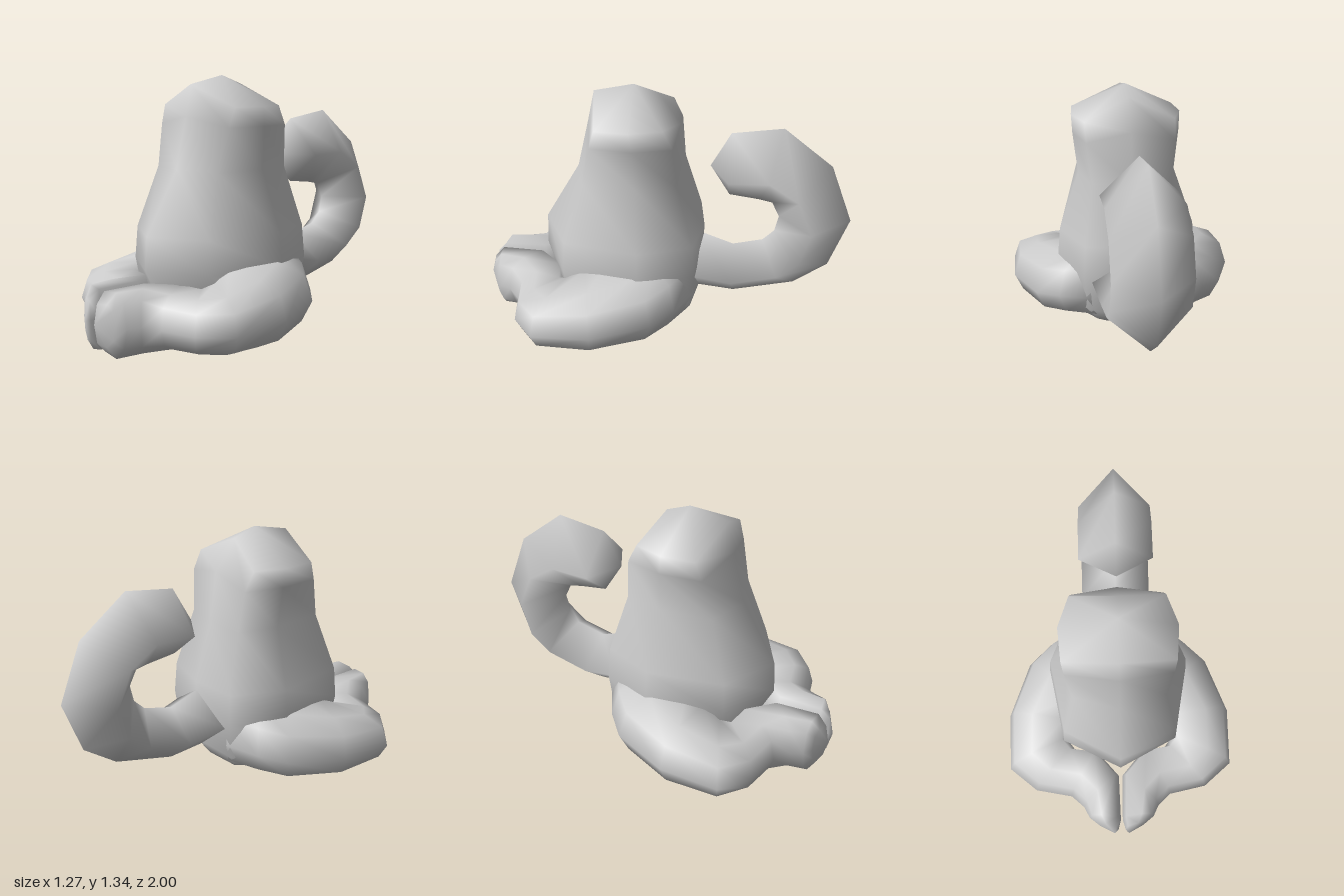
import * as THREE from 'three';

const material = new THREE.MeshStandardMaterial({ color: 0xcccccc, side: THREE.DoubleSide });

// Skin a list of closed rings; each end closes on a point (or on the ring's centre).
function loft(name, rings, startTip, endTip) {
  const n = rings[0].length;
  const centre = (r) => [0, 1, 2].map((k) => r.reduce((s, p) => s + p[k], 0) / n);
  const points = rings.flat();
  const a = points.push(startTip || centre(rings[0])) - 1;
  const b = points.push(endTip || centre(rings[rings.length - 1])) - 1;
  const index = [];
  const last = (rings.length - 1) * n;
  for (let j = 0; j < n; j++) {
    const k = (j + 1) % n;
    for (let i = 0; i < last; i += n) {
      index.push(i + j, i + k, i + n + j, i + k, i + n + k, i + n + j);
    }
    index.push(a, k, j, b, last + j, last + k);
  }
  // Turn every face outwards by checking the enclosed volume.
  let volume = 0;
  const [u, v, w] = [new THREE.Vector3(), new THREE.Vector3(), new THREE.Vector3()];
  for (let i = 0; i < index.length; i += 3) {
    u.fromArray(points[index[i]]);
    v.fromArray(points[index[i + 1]]);
    w.fromArray(points[index[i + 2]]);
    volume += u.dot(v.cross(w));
  }
  if (volume < 0) index.reverse();
  const geometry = new THREE.BufferGeometry();
  geometry.setAttribute('position', new THREE.Float32BufferAttribute(points.flat(), 3));
  geometry.setIndex(index);
  geometry.computeVertexNormals();
  const mesh = new THREE.Mesh(geometry, material);
  mesh.name = name;
  return mesh;
}

// Torso and head in one: eight-sided sections with a pointed front and a pitched top.
function makeBody() {
  // y, side drop, front z, front corner x/z, side x/z, back corner x/z, back z
  const sections = [
    [0.03, 0, 0.40, 0.18, 0.34, 0.24, 0.12, 0.13, -0.06, -0.08],
    [0.07, 0, 0.50, 0.25, 0.42, 0.33, 0.10, 0.19, -0.10, -0.13],
    [0.17, 0, 0.57, 0.29, 0.48, 0.38, 0.10, 0.25, -0.17, -0.20],
    [0.37, 0, 0.67, 0.31, 0.51, 0.39, 0.10, 0.27, -0.19, -0.215],
    [0.54, 0, 0.66, 0.30, 0.50, 0.375, 0.10, 0.26, -0.18, -0.22],
    [0.86, 0, 0.47, 0.24, 0.40, 0.265, 0.12, 0.21, -0.09, -0.125],
    [1.13, 0.05, 0.405, 0.27, 0.35, 0.29, 0.13, 0.235, -0.07, -0.085],
    [1.29, 0.11, 0.37, 0.28, 0.32, 0.295, 0.14, 0.24, -0.02, 0.03],
  ];
  const rings = sections.map(([y, d, zf, xc, zc, xs, zs, xb, zb, zr]) => [
    [0, y, zf], [xc, y - d, zc], [xs, y - d, zs], [xb, y - d, zb],
    [0, y, zr], [-xb, y - d, zb], [-xs, y - d, zs], [-xc, y - d, zc],
  ]);
  return loft('body', rings, [0, 0.02, 0.15], [0, 1.335, 0.16]);
}

// Leg: thigh sweeping out to the knee, shin folding in, foot pointing forward.
function makeLeg(side) {
  // outer x/z, inner x/z, bottom y, top y on the outer and inner side
  const sections = [
    [0.24, -0.19, 0.02, 0.08, 0.07, 0.42, 0.42],
    [0.40, -0.10, 0.08, 0.20, 0.05, 0.40, 0.44],
    [0.52, 0.01, 0.17, 0.29, 0.03, 0.37, 0.44],
    [0.635, 0.31, 0.27, 0.40, 0.02, 0.33, 0.40],
    [0.63, 0.62, 0.29, 0.48, 0.03, 0.29, 0.35],
    [0.48, 0.745, 0.26, 0.52, 0.03, 0.28, 0.32],
    [0.28, 0.785, 0.13, 0.54, 0.02, 0.28, 0.32],
    [0.21, 0.85, 0.01, 0.68, 0, 0.325, 0.325],
    [0.18, 0.91, 0.005, 0.93, 0, 0.325, 0.325],
    [0.135, 0.945, 0.02, 0.98, 0.06, 0.27, 0.27],
  ];
  const outline = [
    [0, 0.5], [0.1, 0.88], [0.4, 1], [0.9, 0.98],
    [1, 0.55], [0.93, 0.06], [0.45, 0], [0.12, 0.18],
  ];
  const rings = sections.map(([xo, zo, xi, zi, yb, to, ti]) => outline.map(([t, h]) => [
    side * (xo + (xi - xo) * t),
    yb + h * (to + (ti - to) * t - yb),
    zo + (zi - zo) * t,
  ]));
  return loft(side > 0 ? 'leftLeg' : 'rightLeg', rings, null, [side * 0.04, 0.17, 1]);
}

// Tail: a curled diamond-section tube ending in a blunt point.
function makeTail() {
  // outer z/y, inner z/y, half width
  const sections = [
    [-0.18, 0.15, -0.18, 0.50, 0.23],
    [-0.39, 0.13, -0.38, 0.43, 0.2],
    [-0.72, 0.21, -0.54, 0.47, 0.2],
    [-0.90, 0.34, -0.60, 0.53, 0.2],
    [-1.00, 0.62, -0.62, 0.62, 0.2],
    [-0.88, 0.93, -0.58, 0.70, 0.2],
    [-0.62, 1.13, -0.51, 0.715, 0.2],
    [-0.35, 1.09, -0.35, 0.735, 0.2],
  ];
  const rings = sections.map(([zo, yo, zi, yi, w]) => {
    const y = yo + (yi - yo) * 0.55;
    const z = zo + (zi - zo) * 0.55;
    return [[0, yo, zo], [w, y, z], [0, yi, zi], [-w, y, z]];
  });
  return loft('tail', rings, null, [0, 0.9, -0.245]);
}

export function createModel() {
  const group = new THREE.Group();
  group.name = 'seatedFigure';
  group.add(makeBody(), makeLeg(1), makeLeg(-1), makeTail());
  return group;
}
